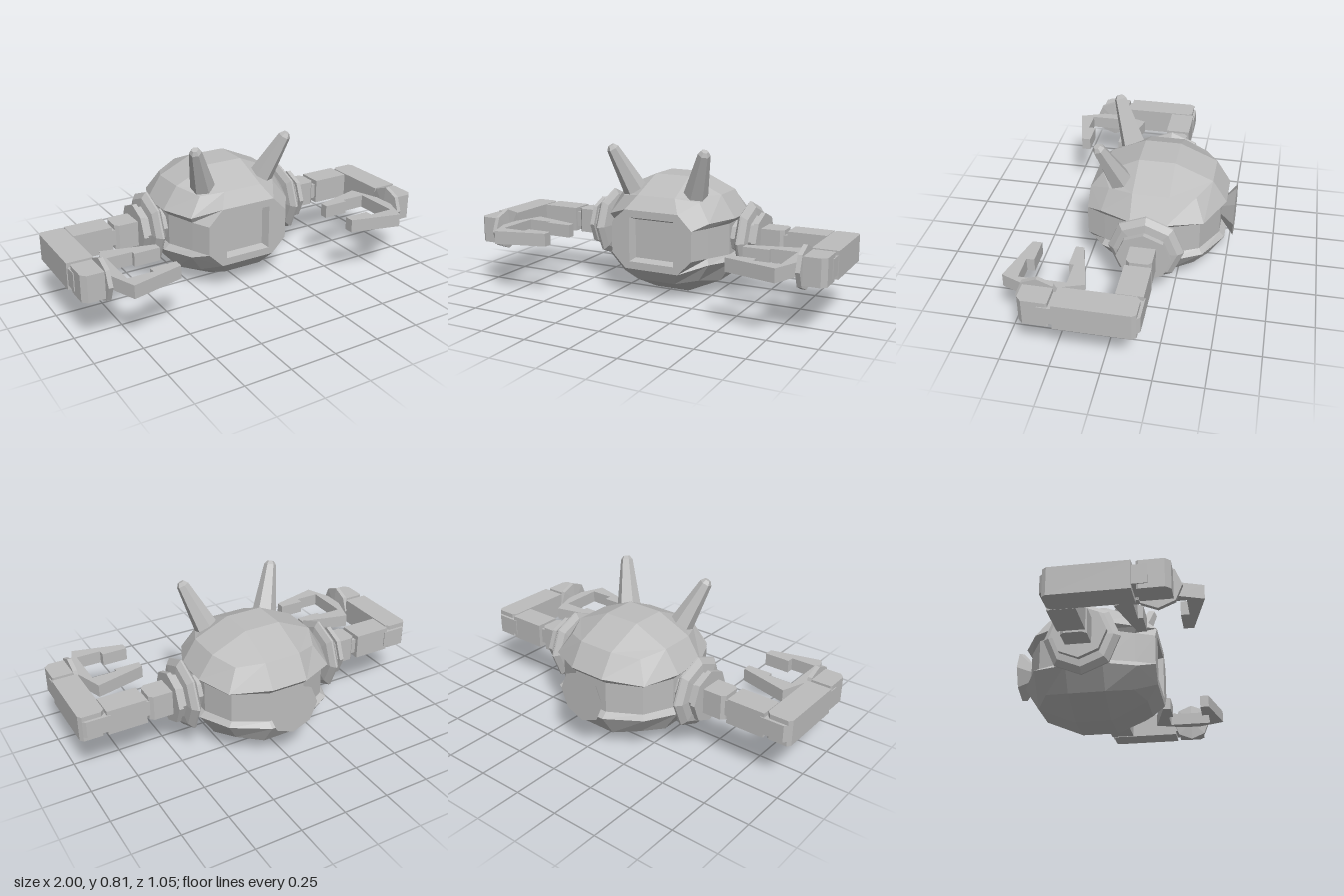
import * as THREE from 'three';

const MID = 0.32; // height of the symmetry plane of body and arms

// Flat-faced geometry from quads of corner points
function quads(list) {
  const pos = [];
  for (const [a, b, c, d] of list) pos.push(...a, ...b, ...c, ...a, ...c, ...d);
  const g = new THREE.BufferGeometry();
  g.setAttribute('position', new THREE.Float32BufferAttribute(pos, 3));
  g.computeVertexNormals();
  return g;
}

// Mirror a geometry across x = 0, keeping faces outward
function mirrored(src) {
  const g = src.index ? src.toNonIndexed() : src.clone();
  g.scale(-1, 1, 1);
  const p = g.attributes.position;
  for (let i = 0; i < p.count; i += 3) {
    const b = [p.getX(i + 1), p.getY(i + 1), p.getZ(i + 1)];
    p.setXYZ(i + 1, p.getX(i + 2), p.getY(i + 2), p.getZ(i + 2));
    p.setXYZ(i + 2, ...b);
  }
  g.computeVertexNormals();
  return g;
}

// Plan outline [x, z] raised about the mid height
function slab(points, halfHeight) {
  const shape = new THREE.Shape(points.map(([x, z]) => new THREE.Vector2(x, -z)));
  return new THREE.ExtrudeGeometry(shape, { depth: halfHeight * 2, bevelEnabled: false })
    .rotateX(-Math.PI / 2).translate(0, MID - halfHeight, 0);
}
const rect = (x0, x1, z0, z1) => [[x0, z0], [x1, z0], [x1, z1], [x0, z1]];

// Octagonal turned part, profile [radius, distance along y]
const turned = (profile, sides = 8) =>
  new THREE.LatheGeometry(profile.map(([r, y]) => new THREE.Vector2(r, y)), sides);

// Body: faceted shell with a recessed belt, open where the front panel sits
function bodyGeometry() {
  const full = half => [...half, ...half.map(([x, y, z]) => [-x, y, z]).reverse()];
  const flip = ring => ring.map(([x, y, z]) => [x, 2 * MID - y, z]);
  const crown = full([[0.11, 0.55, 0.17], [0.225, 0.53, 0.115], [0.29, 0.555, -0.02],
    [0.29, 0.555, -0.21], [0.23, 0.53, -0.34], [0.1, 0.555, -0.41]]);
  const rim = full([[0.155, 0.48, 0.23], [0.295, 0.43, 0.145], [0.37, 0.435, -0.02],
    [0.37, 0.435, -0.21], [0.295, 0.42, -0.39], [0.1, 0.435, -0.487]]);
  const belt = full([[0.235, 0.4, 0.23], [0.28, 0.4, 0.13], [0.34, 0.405, -0.02],
    [0.34, 0.405, -0.21], [0.27, 0.4, -0.37], [0.1, 0.405, -0.458]]);
  const rings = [flip(crown), flip(rim), flip(belt), belt, rim, crown];
  const faces = [];
  for (let k = 0; k < 5; k++) {
    for (let i = 0; i < 12; i++) {
      if (i === 11 && k > 0 && k < 4) continue;
      const j = (i + 1) % 12;
      faces.push([rings[k][i], rings[k][j], rings[k + 1][j], rings[k + 1][i]]);
    }
  }
  // Top and bottom caps
  const top = [[0.1, 0.64, -0.02], [0.1, 0.64, -0.21], [-0.1, 0.64, -0.21], [-0.1, 0.64, -0.02]];
  for (const [c, r, up] of [[top, crown, true], [flip(top), flip(crown), false]]) {
    const cap = [c];
    for (let k = 0; k < 4; k++) {
      const s = 3 * k;
      cap.push([r[s], r[s + 1], r[s + 2], c[k]]);
      cap.push([r[s + 2], r[(s + 3) % 12], c[(k + 1) % 4], c[k]]);
    }
    faces.push(...cap.map(q => (up ? q : [...q].reverse())));
  }
  return quads(faces);
}

export function createModel() {
  const grey = new THREE.MeshStandardMaterial({ color: 0xbcbcbc, flatShading: true });
  grey.name = 'grey';
  const model = new THREE.Group();
  model.name = 'robot';
  const add = (parent, name, geometry) => {
    const mesh = new THREE.Mesh(geometry, grey);
    mesh.name = name;
    parent.add(mesh);
    return mesh;
  };

  add(model, 'body', bodyGeometry());

  // Octagonal front panel with a sunken screen
  const panel = new THREE.Shape([[0.155, 0.16], [0.235, 0.24], [0.235, 0.4], [0.155, 0.48],
    [-0.155, 0.48], [-0.235, 0.4], [-0.235, 0.24], [-0.155, 0.16]].map(p => new THREE.Vector2(...p)));
  const square = (w, h, z) => [[-w, MID - h, z], [w, MID - h, z], [w, MID + h, z], [-w, MID + h, z]];
  const outer = square(0.13, 0.12, 0.23), inner = square(0.112, 0.105, 0.19);
  panel.holes.push(new THREE.Path(outer.map(([x, y]) => new THREE.Vector2(x, y)).reverse()));
  add(model, 'frontPanel', new THREE.ShapeGeometry(panel).translate(0, 0, 0.23));
  add(model, 'screen', quads([inner, ...outer.map((p, i) => {
    const j = (i + 1) % 4;
    return [p, outer[j], inner[j], inner[i]];
  })]));

  // Flared exhaust at the back
  add(model, 'exhaust', turned([[0, 0.44], [0.045, 0.45], [0.14, 0.53], [0, 0.53]])
    .rotateX(-Math.PI / 2).translate(0, MID, 0));

  // Horn leaning out and forward
  const base = new THREE.Vector3(0.17, 0.53, 0.055), tip = new THREE.Vector3(0.275, 0.805, 0.16);
  const lean = tip.clone().sub(base), len = lean.length();
  const horn = turned([[0, 0], [0.07, 0], [0.033, len - 0.02], [0.018, len], [0, len]], 6)
    .applyQuaternion(new THREE.Quaternion().setFromUnitVectors(
      new THREE.Vector3(0, 1, 0), lean.normalize()))
    .translate(base.x, base.y, base.z);

  // Shoulder flange and collar
  const shoulder = turned([[0, 0.32], [0.085, 0.32], [0.085, 0.38], [0.165, 0.395], [0.195, 0.415],
    [0.195, 0.425], [0.165, 0.45], [0.12, 0.455], [0.12, 0.48], [0.14, 0.48], [0.14, 0.505], [0, 0.505]])
    .rotateZ(-Math.PI / 2).translate(0, MID, -0.115);

  // Wrist disc
  const wristDisc = turned([[0, 0.845], [0.11, 0.855], [0.11, 0.878], [0, 0.878]])
    .rotateZ(-Math.PI / 2).translate(0, MID, 0.32);

  // Two-fingered claw, outlined in plan
  const claw = [[0.845, 0.27], [0.79, 0.11], [0.515, 0.18], [0.515, 0.225], [0.655, 0.225],
    [0.655, 0.2], [0.79, 0.2], [0.79, 0.44], [0.655, 0.44], [0.655, 0.4], [0.515, 0.4],
    [0.515, 0.45], [0.79, 0.52], [0.845, 0.38]];

  const parts = {
    Horn: horn,
    Shoulder: shoulder,
    ShoulderLink: slab([[0.5, -0.18], [0.61, -0.18], [0.63, -0.16], [0.63, -0.07],
      [0.61, -0.05], [0.5, -0.05]], 0.068),
    ShoulderPin: slab(rect(0.6, 0.68, -0.165, -0.065), 0.042),
    UpperArm: slab([[0.65, -0.185], [0.86, -0.185], [0.86, -0.05], [0.65, -0.05]], 0.068),
    ElbowJoint: slab([[0.84, -0.19], [0.97, -0.19], [0.985, -0.175], [0.985, -0.1], [0.84, -0.06]], 0.045),
    Forearm: slab([[0.885, -0.175], [0.985, -0.175], [1, -0.155], [1, 0.22], [0.865, 0.22], [0.865, -0.155]], 0.07),
    WristTongue: slab(rect(0.875, 0.995, 0.2, 0.29), 0.047),
    Wrist: slab([[0.87, 0.24], [0.985, 0.24], [0.99, 0.25], [0.99, 0.365], [0.965, 0.39], [0.87, 0.39]], 0.07),
    WristDisc: wristDisc,
    Claw: slab(claw, 0.035),
  };
  for (const side of ['left', 'right']) {
    const arm = new THREE.Group();
    arm.name = side + 'Side';
    for (const [name, geometry] of Object.entries(parts)) {
      add(arm, side + name, side === 'left' ? geometry : mirrored(geometry));
    }
    model.add(arm);
  }
  return model;
}
